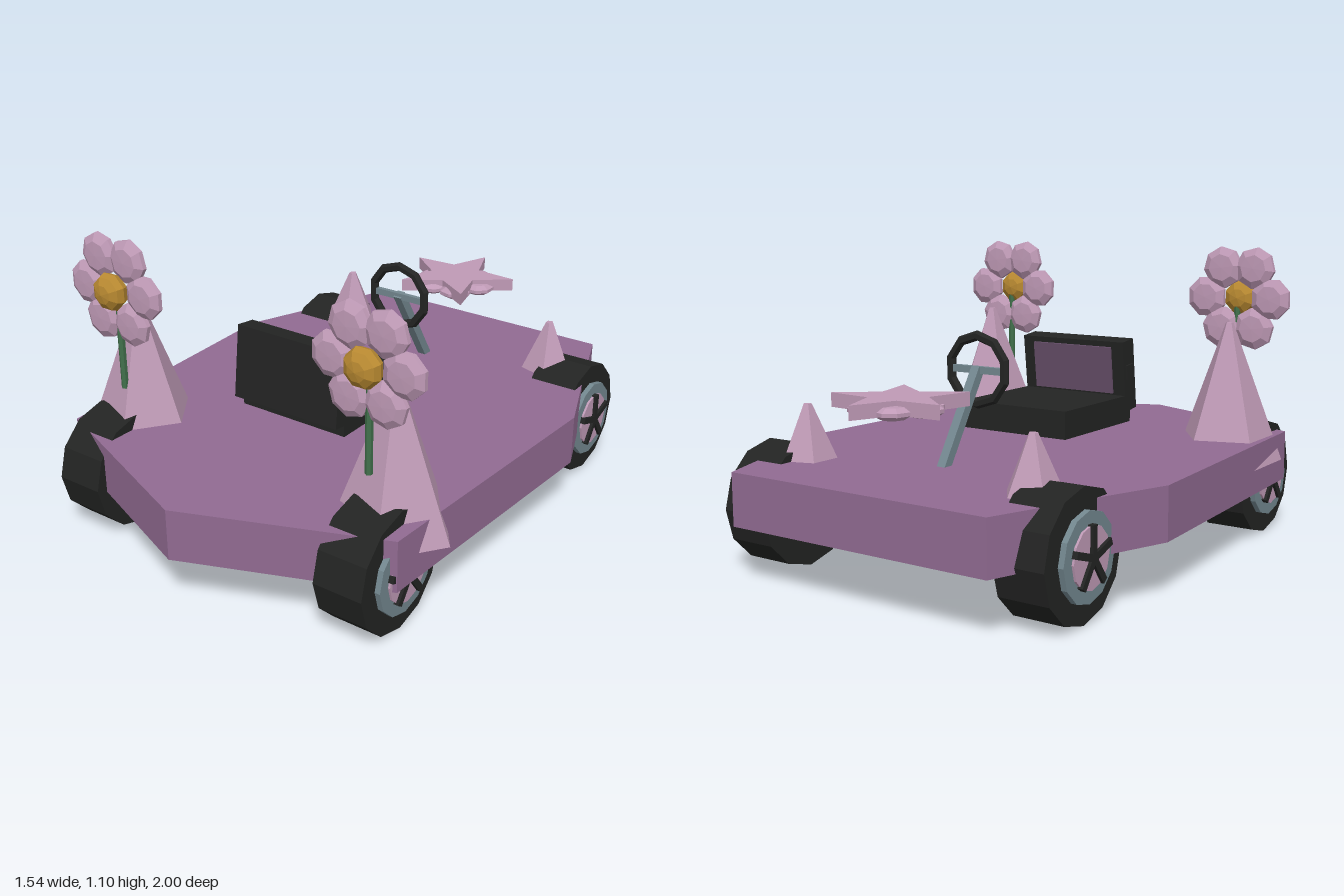
import * as THREE from 'three';

const mat = (name, color, extra = {}) => {
  const m = new THREE.MeshStandardMaterial({ color, flatShading: true, ...extra });
  m.name = name;
  return m;
};

export function createModel() {
  const purple = mat('purple', 0x916b92);
  const pink = mat('pink', 0xbf9ab6);
  const gold = mat('gold', 0xb88931);
  const green = mat('green', 0x41704b);
  const black = mat('black', 0x232423);
  const steel = mat('steel', 0x73878f);
  const plum = mat('plum', 0x68506b);

  const model = new THREE.Group();
  model.name = 'kart';
  const cx = -0.005;

  const add = (parent, name, geo, material, x = 0, y = 0, z = 0) => {
    const mesh = new THREE.Mesh(geo, material);
    mesh.name = name;
    mesh.position.set(x, y, z);
    parent.add(mesh);
    return mesh;
  };
  const group = (name, x, y, z) => {
    const g = new THREE.Group();
    g.name = name;
    g.position.set(x, y, z);
    model.add(g);
    return g;
  };
  // Horizontal slab from an (x, z) outline; its top lies at y = 0
  const slab = (outline, depth) =>
    new THREE.ExtrudeGeometry(new THREE.Shape(outline.map(([x, z]) => new THREE.Vector2(x, z))),
      { depth, bevelEnabled: false }).rotateX(Math.PI / 2);

  // Deck with a pointed end and tapered tail
  const half = [[0.525, -1], [0.67, -0.6], [0.765, -0.35], [0.705, 0.72]];
  const outline = [...half, [0, 1], ...half.map(([x, z]) => [-x, z]).reverse()];
  add(model, 'deck', slab(outline, 0.187), purple, cx, 0.387, 0);

  // Wheels: tyre, rim, hub disc and five spokes, built facing +x
  const disc = (r, w, n) => new THREE.CylinderGeometry(r, r, w, n).rotateZ(-Math.PI / 2);
  for (const z of [0.635, -0.69]) {
    for (const s of [1, -1]) {
      const wheel = group('wheel', cx + s * 0.57, 0.219, z);
      wheel.rotation.y = s > 0 ? 0 : Math.PI;
      add(wheel, 'tyre', disc(0.219, 0.186, 12), black);
      add(wheel, 'rim', disc(0.147, 0.03, 12), steel, 0.098);
      add(wheel, 'hubDisc', disc(0.103, 0.02, 12), pink, 0.111);
      for (let i = 0; i < 5; i++) {
        const spoke = new THREE.BoxGeometry(0.03, 0.105, 0.024).translate(0, 0.052, 0);
        add(wheel, 'spoke', spoke, black, 0.117).rotation.x = (i * Math.PI * 2) / 5;
      }
    }
  }

  // Five-sided spikes
  const spike = (name, x, z, y0, y1, r0, r1) =>
    add(model, name, new THREE.CylinderGeometry(r1, r0, y1 - y0, 5).rotateY(Math.PI / 2),
      pink, x, (y0 + y1) / 2, z);
  for (const s of [1, -1]) {
    spike('largeSpike', s * 0.555, 0.522, 0.29, 0.82, 0.214, 0.015);
    spike('smallSpike', cx + s * 0.475, -0.688, 0.34, 0.58, 0.12, 0.015);
  }

  // Six bevelled petals in the xy plane
  const petalGeo = new THREE.LatheGeometry(
    [[0, -0.027], [0.052, -0.025], [0.08, -0.008], [0.08, 0.008], [0.052, 0.025], [0, 0.027]]
      .map(([x, y]) => new THREE.Vector2(x, y)), 8).rotateY(Math.PI / 8).rotateX(Math.PI / 2);
  const petals = (parent) => {
    for (let i = 0; i < 6; i++) {
      const a = (i * Math.PI) / 3;
      add(parent, 'petal', petalGeo, pink, Math.cos(a) * 0.133, Math.sin(a) * 0.133, 0).rotation.z = a;
    }
  };

  // Upright flowers
  for (const s of [1, -1]) {
    const flower = group('flower', cx + s * 0.532, 0.905, 0.635);
    petals(flower);
    const heart = new THREE.SphereGeometry(0.07, 8, 6).rotateX(Math.PI / 2).rotateZ(Math.PI / 8);
    add(flower, 'flowerCentre', heart.scale(1, 1, 0.68), gold, 0, 0, 0.028);
    add(flower, 'stem', new THREE.CylinderGeometry(0.013, 0.013, 0.37, 6), green, 0.004, -0.19, 0);
  }

  // Star lying over a flat flower
  const star = [];
  for (let i = 0; i < 10; i++) {
    const a = (i * Math.PI) / 5, r = i % 2 ? 0.103 : 0.238;
    star.push([Math.sin(a) * r, -Math.cos(a) * r]);
  }
  add(model, 'star', slab(star, 0.048), pink, cx, 0.66, -0.757);
  const flatFlower = group('flatFlower', cx, 0.622, -0.757);
  flatFlower.rotation.x = -Math.PI / 2;
  flatFlower.scale.setScalar(0.8);
  petals(flatFlower);

  // Seat with a tilted backrest and inset panel
  const seat = group('seat', cx, 0, 0);
  add(seat, 'cushion', new THREE.BoxGeometry(0.452, 0.102, 0.46), black, 0, 0.487, 0.11);
  const back = new THREE.Group();
  back.name = 'backrest';
  back.position.set(0, 0.615, 0.333);
  back.rotation.x = -0.115;
  seat.add(back);
  add(back, 'backFrame', new THREE.BoxGeometry(0.452, 0.272, 0.08), black);
  add(back, 'sideTabs', new THREE.BoxGeometry(0.464, 0.055, 0.05), black, 0, 0.015, 0);
  add(back, 'backPanel', new THREE.BoxGeometry(0.35, 0.18, 0.009), plum, 0, 0.025, -0.044);

  // Steering wheel, crossbar and slanted column
  const steering = group('steering', cx, 0.695, -0.333);
  const ring = new THREE.TorusGeometry(0.12, 0.018, 6, 10).rotateZ(Math.PI / 10);
  add(steering, 'steeringWheel', ring, black).rotation.z = Math.PI / 5;
  add(steering, 'crossbar', new THREE.BoxGeometry(0.22, 0.025, 0.018), steel);
  const column = add(steering, 'column', new THREE.BoxGeometry(0.034, 0.4, 0.034), steel, 0, -0.165, -0.105);
  column.rotation.x = Math.atan2(0.195, 0.315);

  return model;
}
